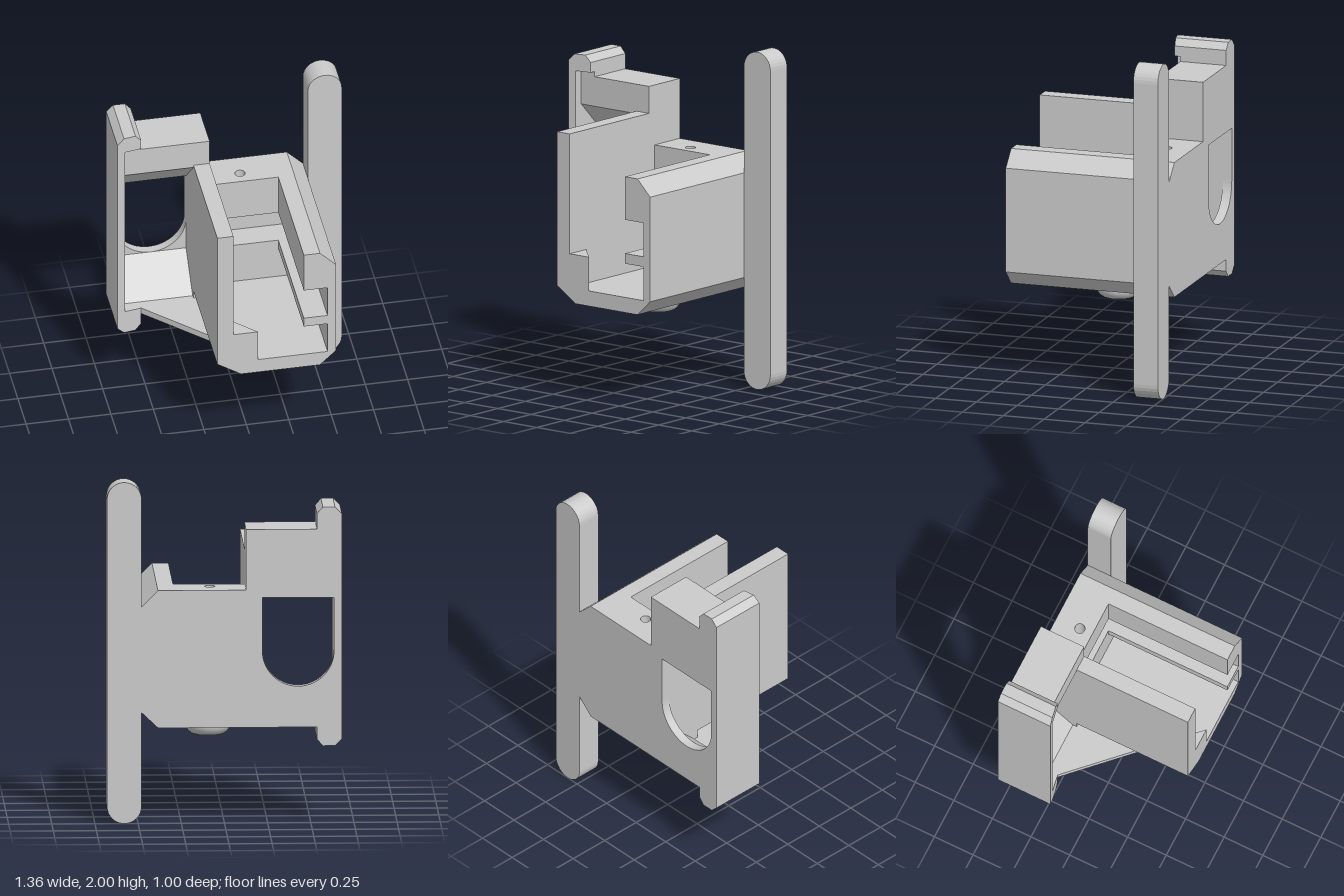
import * as THREE from 'three';

const material = new THREE.MeshStandardMaterial({ color: 0xcccccc });

export function createModel() {
  const model = new THREE.Group();

  const add = (name, geometry) => {
    const mesh = new THREE.Mesh(geometry, material);
    mesh.name = name;
    model.add(mesh);
    return mesh;
  };

  // Prism from a profile, running along one axis between two positions.
  // Profiles are (x, y) along z, (x, z) along y and (z, y) along x.
  const prism = (name, axis, from, to, profile, holes = []) => {
    const place = ([a, b]) =>
      new THREE.Vector2(axis === 'x' ? -a : a, axis === 'y' ? -b : b);
    const shape = new THREE.Shape(profile.map(place));
    shape.holes.push(...holes);
    const geometry = new THREE.ExtrudeGeometry(shape, {
      depth: to - from, bevelEnabled: false, curveSegments: 16,
    });
    geometry.translate(0, 0, from);
    if (axis === 'y') geometry.rotateX(-Math.PI / 2);
    if (axis === 'x') geometry.rotateY(Math.PI / 2);
    return add(name, geometry);
  };
  const rect = (a0, b0, a1, b1) => [[a0, b0], [a1, b0], [a1, b1], [a0, b1]];

  // Open tray with a tall left wall and a grooved right wall
  prism('tray', 'z', -0.27, 0.5, [
    [-0.22, 1.56], [-0.22, 0.65], [-0.08, 0.56], [0.385, 0.56], [0.48, 0.65],
    [0.48, 1.27], [0.385, 1.365], [0.29, 1.365], [0.29, 1.11], [0.43, 1.11],
    [0.43, 0.91], [0.29, 0.91], [0.29, 0.85], [0.43, 0.85], [0.43, 0.65],
    [-0.125, 0.65], [-0.125, 1.56],
  ]);
  prism('cornerLedge', 'y', 0.64, 0.85, [[-0.125, 0.35], [0.02, 0.5], [-0.125, 0.5]]);

  // Rear wall of the tray, with a pocket in front and a pin hole from above
  const wallEdge = [
    [-0.125, 0.56], [0.385, 0.56], [0.48, 0.65], [0.48, 1.27],
    [0.385, 1.365], [0.29, 1.365], [0.29, 1.11],
  ];
  prism('rearWall', 'z', -0.5, -0.42, [...wallEdge, [-0.125, 1.11]]);
  prism('pocketWall', 'z', -0.42, -0.27, [
    ...wallEdge, [0.43, 1.11], [0.43, 0.91], [-0.02, 0.91], [-0.02, 1.11], [-0.125, 1.11],
  ]);
  const pinHole = new THREE.Path().absarc(0.08, 0.35, 0.03, 0, Math.PI * 2);
  prism('rearWallTop', 'y', 1.11, 1.365, rect(-0.125, -0.5, 0.29, -0.27), [pinHole]);

  // Back plate with a round-bottomed window
  const windowHole = new THREE.Path();
  windowHole.moveTo(-0.22, 1.32);
  windowHole.lineTo(-0.635, 1.32);
  windowHole.lineTo(-0.635, 1.0075);
  windowHole.absarc(-0.4275, 1.0075, 0.2075, Math.PI, Math.PI * 2);
  windowHole.closePath();
  prism('backPlate', 'z', -0.5, -0.445, rect(-0.68, 0.56, -0.125, 1.72), [windowHole]);

  // Sloped blocks above and below the window
  prism('upperBlock', 'x', -0.635, -0.125, [
    [-0.445, 1.32], [-0.22, 1.545], [-0.22, 1.72], [-0.445, 1.72],
  ]);
  prism('lowerBlock', 'x', -0.635, -0.22, [
    [-0.445, 0.56], [-0.245, 0.56], [-0.245, 0.6], [-0.445, 0.8],
  ]);
  prism('wallRoot', 'z', -0.445, -0.22, rect(-0.22, 0.56, -0.125, 1.72));
  prism('lipFill', 'z', -0.5, -0.22, rect(-0.64, 1.7, -0.535, 1.76));

  // Triangular floor between rib and tray
  prism('floorGusset', 'y', 0.56, 0.6, [
    [-0.64, -0.5], [-0.64, -0.185], [-0.535, -0.185], [-0.08, 0.27], [-0.08, -0.5],
  ]);

  // Side rib with hooked, chamfered ends and a slanted front
  const rib = prism('sideRib', 'z', -0.5, -0.16, [
    [-0.64, 1.85], [-0.57, 1.85], [-0.535, 1.81], [-0.535, 1.75], [-0.635, 1.75],
    [-0.635, 0.6], [-0.535, 0.6], [-0.535, 0.49], [-0.57, 0.45], [-0.64, 0.45],
    [-0.68, 0.49], [-0.68, 1.81],
  ]);
  const position = rib.geometry.attributes.position;
  for (let i = 0; i < position.count; i++) {
    if (position.getZ(i) > -0.3) position.setZ(i, -0.16 - 0.172 * (position.getX(i) + 0.68));
  }
  rib.geometry.computeVertexNormals();

  // Long upright bar with round ends
  const barOutline = [];
  for (let i = 0; i < 34; i++) {
    const a = ((i % 17) / 16 + Math.floor(i / 17)) * Math.PI;
    barOutline.push([0.58 + 0.1 * Math.cos(a), (i < 17 ? 1.9 : 0.1) + 0.1 * Math.sin(a)]);
  }
  prism('uprightBar', 'z', -0.5, -0.35, barOutline);

  // Rounded knob under the tray
  const knobProfile = [new THREE.Vector2(0, 0.455)];
  for (let i = 0; i <= 6; i++) {
    const a = (i / 6) * Math.PI / 2;
    knobProfile.push(new THREE.Vector2(0.07 + 0.06 * Math.sin(a), 0.515 - 0.06 * Math.cos(a)));
  }
  knobProfile.push(new THREE.Vector2(0.13, 0.57));
  const knob = add('knob', new THREE.LatheGeometry(knobProfile, 32));
  knob.position.set(0.08, 0, -0.055);

  return model;
}
